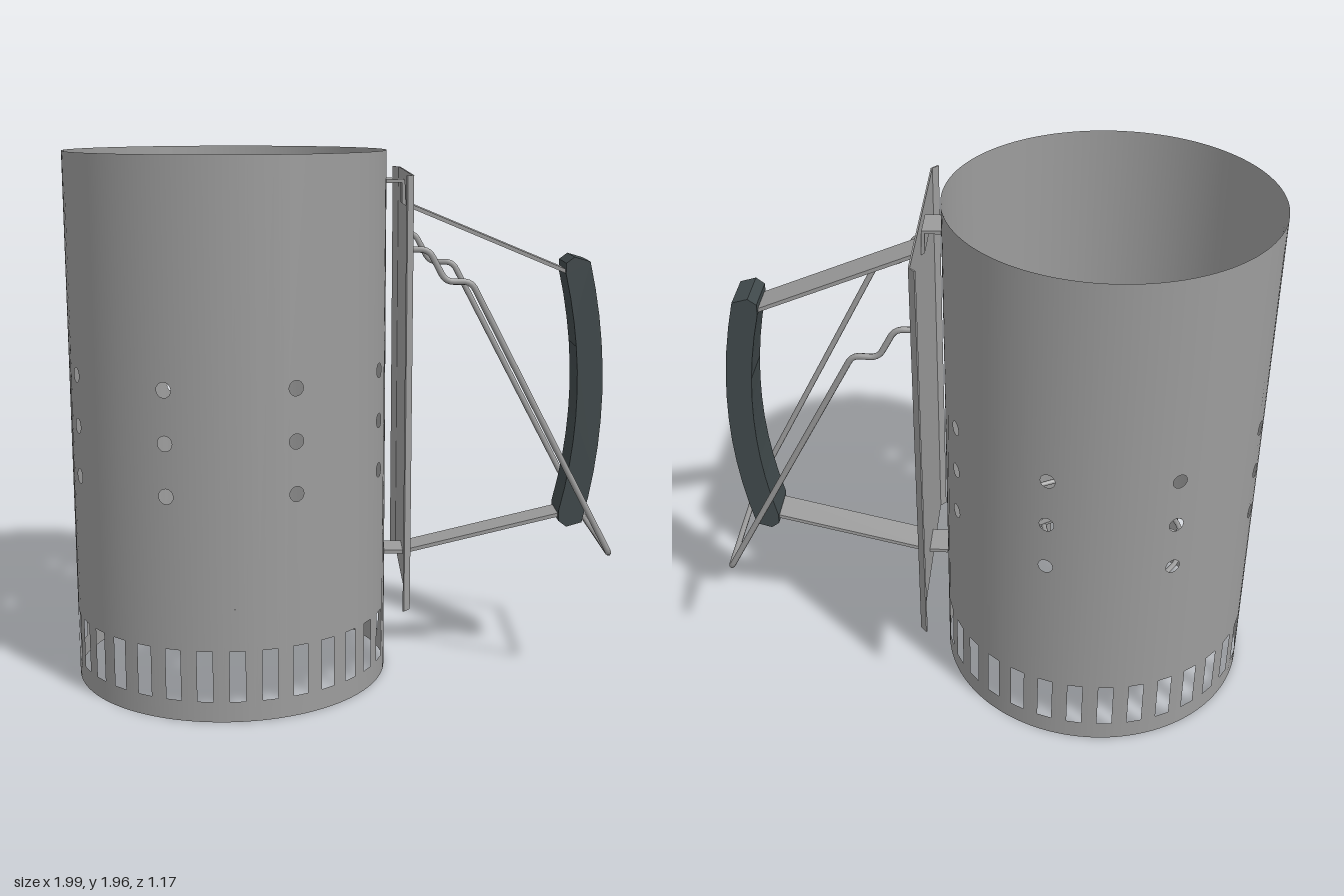
import * as THREE from 'three';
import { mergeGeometries } from 'three/addons/utils/BufferGeometryUtils.js';

const R = 0.585, H = 1.96, CX = -0.41;
const rad = THREE.MathUtils.degToRad;

function add(parent, name, geometry, material) {
  const mesh = new THREE.Mesh(geometry, material);
  mesh.name = name;
  parent.add(mesh);
  return mesh;
}

// One sector of the wall, cut flat with its openings and then bent round the axis
function wallSector(angle, step, hasSlot, hasHoles) {
  const w = R * step / 2, shape = new THREE.Shape();
  const pts = [];
  for (let i = 0; i <= 4; i++) pts.push(new THREE.Vector2(-w + w * i / 2, 0));
  for (let i = 4; i >= 0; i--) pts.push(new THREE.Vector2(-w + w * i / 2, H));
  shape.setFromPoints(pts);
  if (hasSlot) {
    const s = 0.028;
    shape.holes.push(new THREE.Path([[-s, 0.075], [-s, 0.26], [s, 0.26], [s, 0.075]]
      .map(p => new THREE.Vector2(...p))));
  }
  if (hasHoles) {
    for (const y of [0.81, 0.995, 1.18]) {
      const hole = new THREE.Path();
      hole.absarc(-R * rad(1.1), y, 0.027, 0, Math.PI * 2, true);
      shape.holes.push(hole);
    }
  }
  const geo = new THREE.ShapeGeometry(shape, 8);
  const pos = geo.attributes.position, nor = geo.attributes.normal;
  for (let i = 0; i < pos.count; i++) {
    const a = angle - pos.getX(i) / R;
    pos.setXYZ(i, R * Math.cos(a), pos.getY(i), R * Math.sin(a));
    nor.setXYZ(i, Math.cos(a), 0, Math.sin(a));
  }
  return geo;
}

// Bar of constant thickness following an open polyline, extruded along z
function strip(points, thickness, depth) {
  const p = points.map(q => new THREE.Vector2(...q));
  const offset = side => p.map((v, i) => {
    const a = p[Math.max(i - 1, 0)], b = p[Math.min(i + 1, p.length - 1)];
    const d = b.clone().sub(a).normalize();
    return new THREE.Vector2(v.x - d.y * side * thickness / 2, v.y + d.x * side * thickness / 2);
  });
  const shape = new THREE.Shape([...offset(1), ...offset(-1).reverse()]);
  return new THREE.ExtrudeGeometry(shape, { depth, bevelEnabled: false }).translate(0, 0, -depth / 2);
}

// Polyline with rounded bends
function bentPath(points, bend) {
  const p = points.map(q => new THREE.Vector3(...q)), path = new THREE.CurvePath();
  let from = p[0];
  for (let i = 1; i < p.length - 1; i++) {
    const a = p[i].clone().add(p[i - 1].clone().sub(p[i]).setLength(bend));
    const b = p[i].clone().add(p[i + 1].clone().sub(p[i]).setLength(bend));
    path.add(new THREE.LineCurve3(from, a));
    path.add(new THREE.QuadraticBezierCurve3(a, p[i], b));
    from = b;
  }
  path.add(new THREE.LineCurve3(from, p[p.length - 1]));
  return path;
}

export function createModel() {
  const model = new THREE.Group();
  model.name = 'charcoalStarter';
  const steel = new THREE.MeshStandardMaterial({ color: 0x9c9c9c, side: THREE.DoubleSide });
  steel.name = 'steel';
  const grip = new THREE.MeshStandardMaterial({ color: 0x40494b });
  grip.name = 'darkGrip';

  // Canister wall: slots all round except behind the shield, eight columns of vent holes
  const step = Math.PI / 16, sectors = [];
  for (let k = 0; k < 32; k++) {
    sectors.push(wallSector(rad(17.9) + k * step, step, k < 30, k % 4 === 0));
  }
  add(model, 'canister', mergeGeometries(sectors), steel).position.x = CX;

  // Conical fire grate: spokes, rings and a centre cap
  const grate = new THREE.Group();
  grate.name = 'grate';
  grate.position.x = CX;
  grate.rotation.y = rad(1.5);
  model.add(grate);
  const slope = 0.44, peak = 0.66, slant = Math.atan(slope), len = 0.58 / Math.cos(slant);
  const spokeShape = new THREE.Shape([[0.03, -0.008], [len, -0.028], [len, 0.028], [0.03, 0.008]]
    .map(p => new THREE.Vector2(...p)));
  const spokeGeo = new THREE.ExtrudeGeometry(spokeShape, { depth: 0.01, bevelEnabled: false })
    .rotateX(-Math.PI / 2).rotateZ(-slant);
  for (let i = 0; i < 4; i++) {
    const spoke = add(grate, 'grateSpoke', spokeGeo, steel);
    spoke.position.y = peak;
    spoke.rotation.y = i * Math.PI / 2;
  }
  for (const r of [0.208, 0.335, 0.457]) {
    const ring = add(grate, 'grateRing', new THREE.TorusGeometry(r, 0.01, 8, 48), steel);
    ring.rotation.x = Math.PI / 2;
    ring.position.y = peak - slope * r;
  }
  add(grate, 'grateCap', new THREE.ConeGeometry(0.093, 0.045, 24), steel).position.y = peak;

  // Heat shield with folded side lips
  const shield = strip([[0.224, 0.405], [0.246, 0.38], [0.246, -0.38], [0.224, -0.405]], 0.006, 1.545);
  shield.rotateX(Math.PI / 2).translate(0, 1.1125, 0);
  add(model, 'heatShield', shield, steel);

  // Straps from the canister through the shield to the grip
  add(model, 'upperStrap', strip(
    [[0.172, 1.85], [0.234, 1.85], [0.236, 1.772], [0.25, 1.765], [0.87, 1.507]], 0.014, 0.125), steel);
  add(model, 'lowerStrap', strip(
    [[0.172, 0.457], [0.245, 0.457], [0.87, 0.608]], 0.014, 0.125), steel);

  // Curved grip
  const profile = new THREE.Shape();
  profile.moveTo(0.83, 1.515);
  profile.quadraticCurveTo(0.94, 1.067, 0.83, 0.62);
  profile.lineTo(0.83, 0.58);
  profile.lineTo(0.86, 0.557);
  profile.lineTo(0.918, 0.574);
  profile.quadraticCurveTo(1.04, 1.067, 0.918, 1.56);
  profile.lineTo(0.86, 1.577);
  profile.lineTo(0.83, 1.554);
  const handle = new THREE.ExtrudeGeometry(profile, { depth: 0.16, bevelEnabled: false, curveSegments: 10 });
  add(model, 'handleGrip', handle.translate(0, 0, -0.08), grip);

  // Hinged wire bail, mirrored about the middle
  const side = [[0.245, 1.63, 0.342], [0.305, 1.63, 0.342], [0.365, 1.518, 0.342],
    [0.455, 1.518, 0.335], [0.987, 0.507, 0.275]];
  const wire = bentPath([...side, ...side.map(([x, y, z]) => [x, y, -z]).reverse()], 0.03);
  add(model, 'wireBail', new THREE.TubeGeometry(wire, 260, 0.011, 8, false), steel);

  return model;
}
